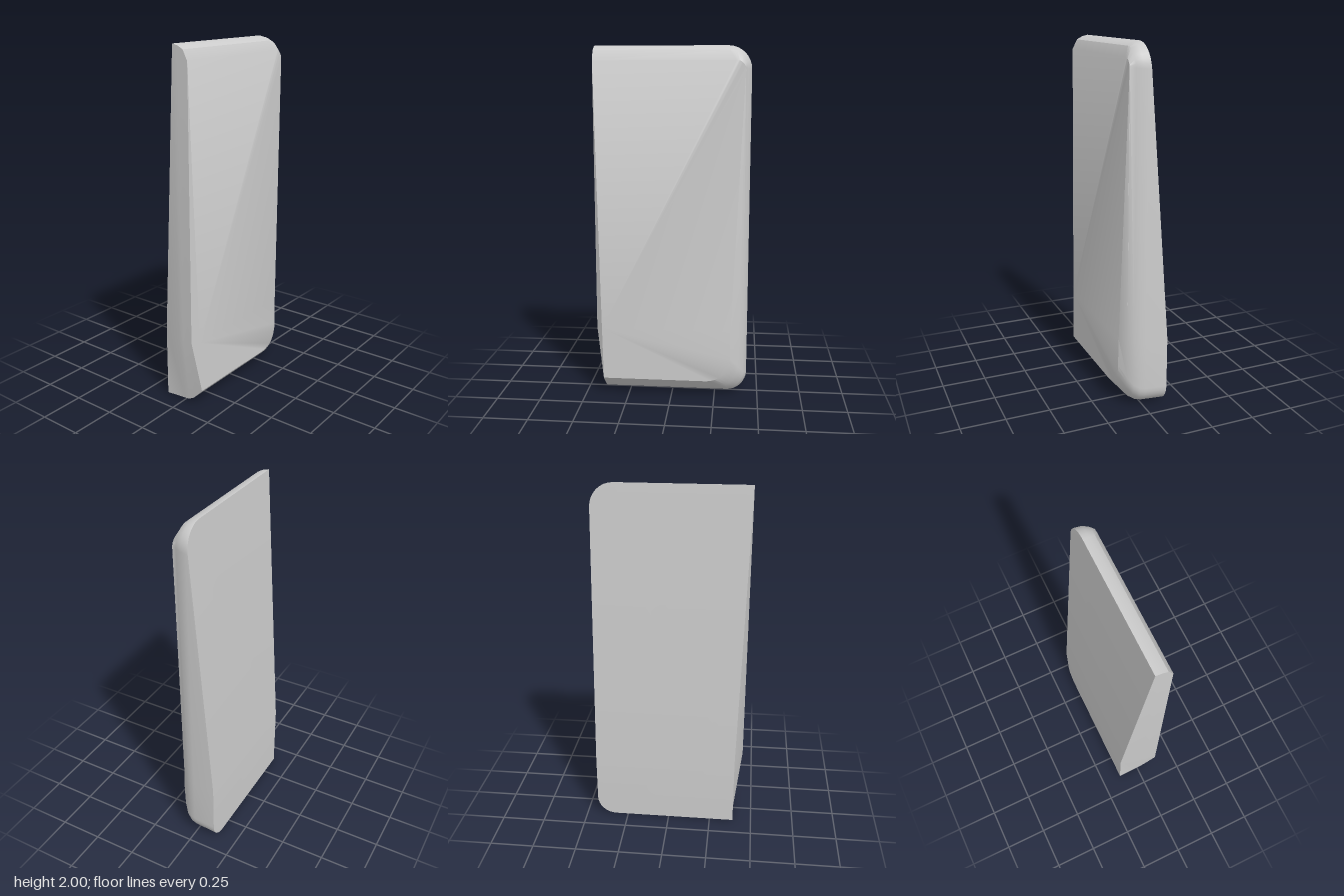
import * as THREE from 'three';
import { toCreasedNormals } from 'three/addons/utils/BufferGeometryUtils.js';

const KINK = 0.4; // height where the taper starts
const ARC = 8; // segments in each rounded back corner
const { lerp, clamp } = THREE.MathUtils;

// Cross-sections from the left face to the right face. Pairs run [low, high].
// x, back: depth at low and high end; y: bottom and top; front: z at bottom, kink, top;
// r: back corner radius at bottom and top; y0: height where interpolation starts
const sections = [
  { x: [-0.13, -0.005], y: [0, 2], back: [-0.435, -0.435], front: [0.39, 0.39, 0.435], r: [0.11, 0.13], y0: KINK },
  { x: [0, -0.003], y: [0.01, 2], back: [-0.435, -0.435], front: [0.39, 0.435, 0.435], r: [0.11, 0.13], y0: KINK },
  { x: [0.03, 0.03], y: [0.015, 1.992], back: [-0.43, -0.43], front: [0.39, 0.435, 0.435], r: [0.11, 0.12], y0: KINK },
  { x: [0.062, 0.062], y: [0.032, 1.975], back: [-0.415, -0.415], front: [0.39, 0.435, 0.435], r: [0.11, 0.1], y0: KINK },
  { x: [0.09, 0.09], y: [0.06, 1.92], back: [-0.388, -0.402], front: [0.392, 0.435, 0.435], r: [0.12, 0.05], y0: KINK },
  { x: [0.128, 0.09], y: [0.1, 1.92], back: [-0.34, -0.402], front: [0.395, 0.402, 0.435], r: [0.14, 0.05], y0: 0.1 },
];

// Outline of one section: up the front, over the top, down the back, along the bottom
function makeRing({ x, y, back, front, r, y0 }) {
  const ring = [];
  const add = (py, pz) => {
    const t = clamp((py - y0) / (y[1] - y0), 0, 1);
    ring.push([lerp(x[0], x[1], t), py, pz]);
  };
  add(y[0], front[0]);
  add(KINK, front[1]);
  add(y[1], front[2]);
  for (let i = 0; i <= ARC; i++) {
    const a = (i / ARC) * Math.PI / 2;
    add(y[1] - r[1] * (1 - Math.cos(a)), back[1] + r[1] * (1 - Math.sin(a)));
  }
  add(KINK, back[0]);
  for (let i = 0; i <= ARC; i++) {
    const a = (i / ARC) * Math.PI / 2;
    add(y[0] + r[0] * (1 - Math.sin(a)), back[0] + r[0] * (1 - Math.cos(a)));
  }
  return ring;
}

function makeSlab() {
  const rings = sections.map(makeRing);
  const n = rings[0].length;
  const pos = rings.flat(2);
  const index = [];
  // Walls between neighbouring sections
  for (let k = 0; k < rings.length - 1; k++) {
    for (let j = 0; j < n; j++) {
      const a = k * n + j, a2 = k * n + (j + 1) % n;
      index.push(a, a + n, a2, a + n, a2 + n, a2);
    }
  }
  // Flat faces, fanned from the front kink
  const last = (rings.length - 1) * n;
  for (let j = 1; j < n - 1; j++) {
    const p = 1 + j, q = (2 + j) % n;
    index.push(1, p, q, last + 1, last + q, last + p);
  }
  const geo = new THREE.BufferGeometry();
  geo.setAttribute('position', new THREE.Float32BufferAttribute(pos, 3));
  geo.setIndex(index);
  return toCreasedNormals(geo, 0.6);
}

export function createModel() {
  const group = new THREE.Group();
  group.name = 'taperedPanel';
  const grey = new THREE.MeshStandardMaterial({ color: 0xcccccc });
  grey.name = 'light grey';
  const slab = new THREE.Mesh(makeSlab(), grey);
  slab.name = 'panelBody';
  group.add(slab);
  return group;
}
